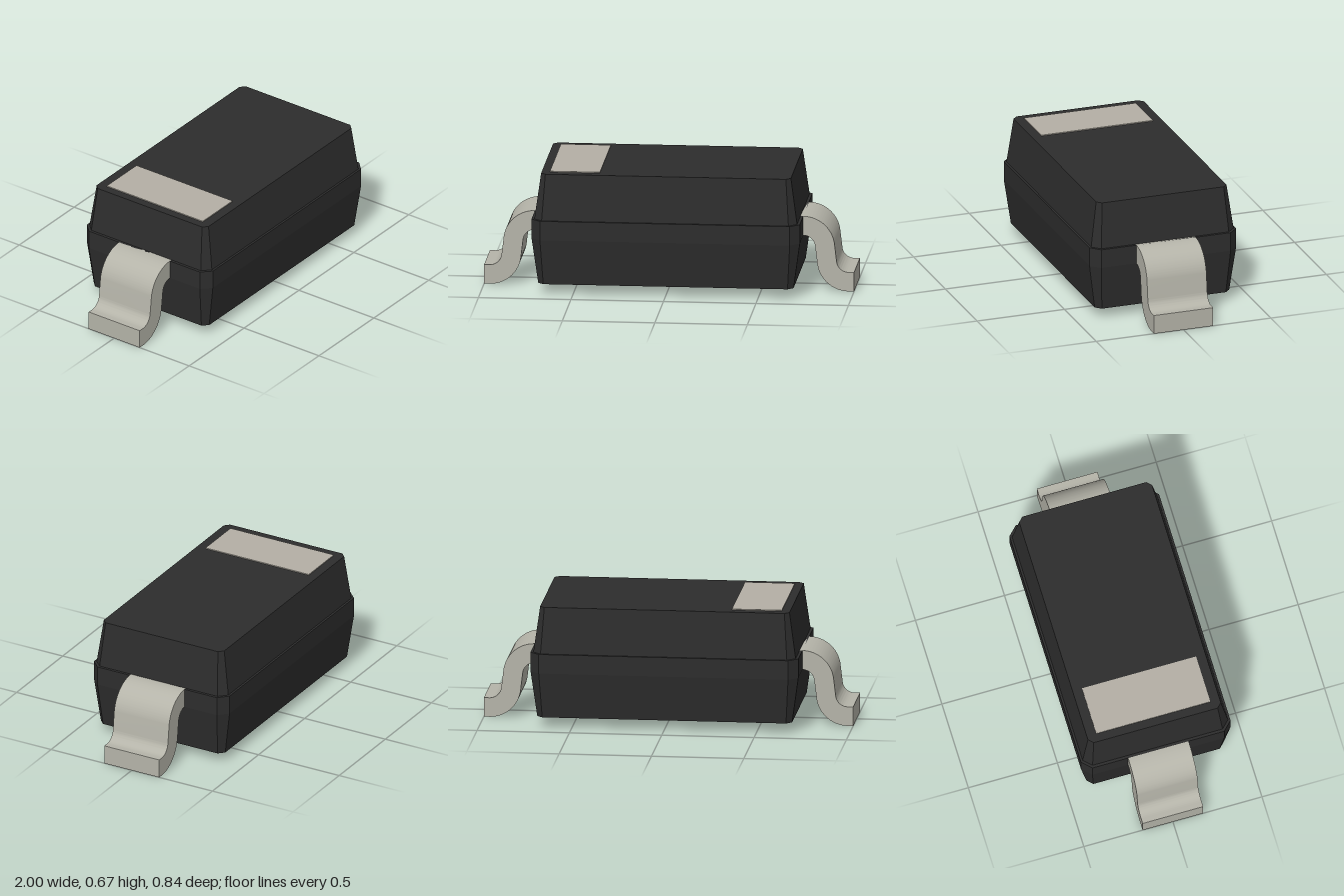
import * as THREE from 'three';
import { toCreasedNormals } from 'three/addons/utils/BufferGeometryUtils.js';

// Rectangle with cut corners at height y: half sizes hx, hz, corner cut c
function ring([y, hx, hz, c]) {
  return [
    [hx, -hz + c], [hx, hz - c], [hx - c, hz], [-hx + c, hz],
    [-hx, hz - c], [-hx, -hz + c], [-hx + c, -hz], [hx - c, -hz],
  ].map(([x, z]) => [x, y, z]);
}

// Flat-faced closed loft through the rings, from bottom to top
function loft(sections) {
  const rings = sections.map(ring);
  const n = rings[0].length;
  const pos = [];
  const tri = (a, b, c) => pos.push(...a, ...b, ...c);
  for (let k = 0; k < rings.length - 1; k++) {
    const lo = rings[k], hi = rings[k + 1];
    for (let i = 0; i < n; i++) {
      const j = (i + 1) % n;
      tri(lo[i], hi[i], hi[j]);
      tri(lo[i], hi[j], lo[j]);
    }
  }
  const bottom = rings[0], top = rings[rings.length - 1];
  for (let i = 1; i < n - 1; i++) {
    tri(bottom[0], bottom[i], bottom[i + 1]);
    tri(top[0], top[i + 1], top[i]);
  }
  const g = new THREE.BufferGeometry();
  g.setAttribute('position', new THREE.Float32BufferAttribute(pos, 3));
  g.computeVertexNormals();
  return g;
}

// S-bent strip seen from the front, extruded along z
function leadGeometry() {
  const outer = 0.17, inner = 0.065, tilt = 0.13, width = 0.34;
  const top = [0.725, 0.24], foot = [0.97, 0.17];
  const s = new THREE.Shape();
  s.moveTo(0.66, top[1] + inner);
  s.absarc(...top, inner, Math.PI / 2, tilt, true);
  s.absarc(...foot, outer, Math.PI + tilt, Math.PI * 1.5, false);
  s.lineTo(1, 0);
  s.lineTo(1, foot[1] - inner);
  s.absarc(...foot, inner, Math.PI * 1.5, Math.PI + tilt, true);
  s.absarc(...top, outer, tilt, Math.PI / 2, false);
  s.lineTo(0.66, top[1] + outer);
  s.closePath();
  const g = new THREE.ExtrudeGeometry(s, { depth: width, bevelEnabled: false, curveSegments: 20 });
  g.translate(0, 0, -width / 2);
  return toCreasedNormals(g, 0.5);
}

export function createModel() {
  const material = (name, color) => {
    const m = new THREE.MeshStandardMaterial({ color });
    m.name = name;
    return m;
  };
  const black = material('black plastic', 0x2d2d2d);
  const metal = material('tinned metal', 0xb5b4a9);
  const paint = material('marking paint', 0xb4afa5);

  const model = new THREE.Group();
  model.name = 'diodePackage';
  const add = (name, geometry, mat) => {
    const mesh = new THREE.Mesh(geometry, mat);
    mesh.name = name;
    model.add(mesh);
    return mesh;
  };

  // Moulded body: tapered base, straight belt, small step, tapered top
  add('body', loft([
    [0.055, 0.69, 0.385, 0.03],
    [0.305, 0.725, 0.42, 0.05],
    [0.41, 0.725, 0.42, 0.05],
    [0.41, 0.71, 0.408, 0.043],
    [0.66, 0.675, 0.373, 0.025],
  ]), black);

  // Polarity band on top
  add('polarityBand', new THREE.BoxGeometry(0.27, 0.008, 0.64), paint)
    .position.set(-0.495, 0.661, 0);

  // Bent leads at both ends
  const lead = leadGeometry();
  add('leftLead', lead, metal);
  add('rightLead', lead, metal).rotation.y = Math.PI;

  return model;
}
